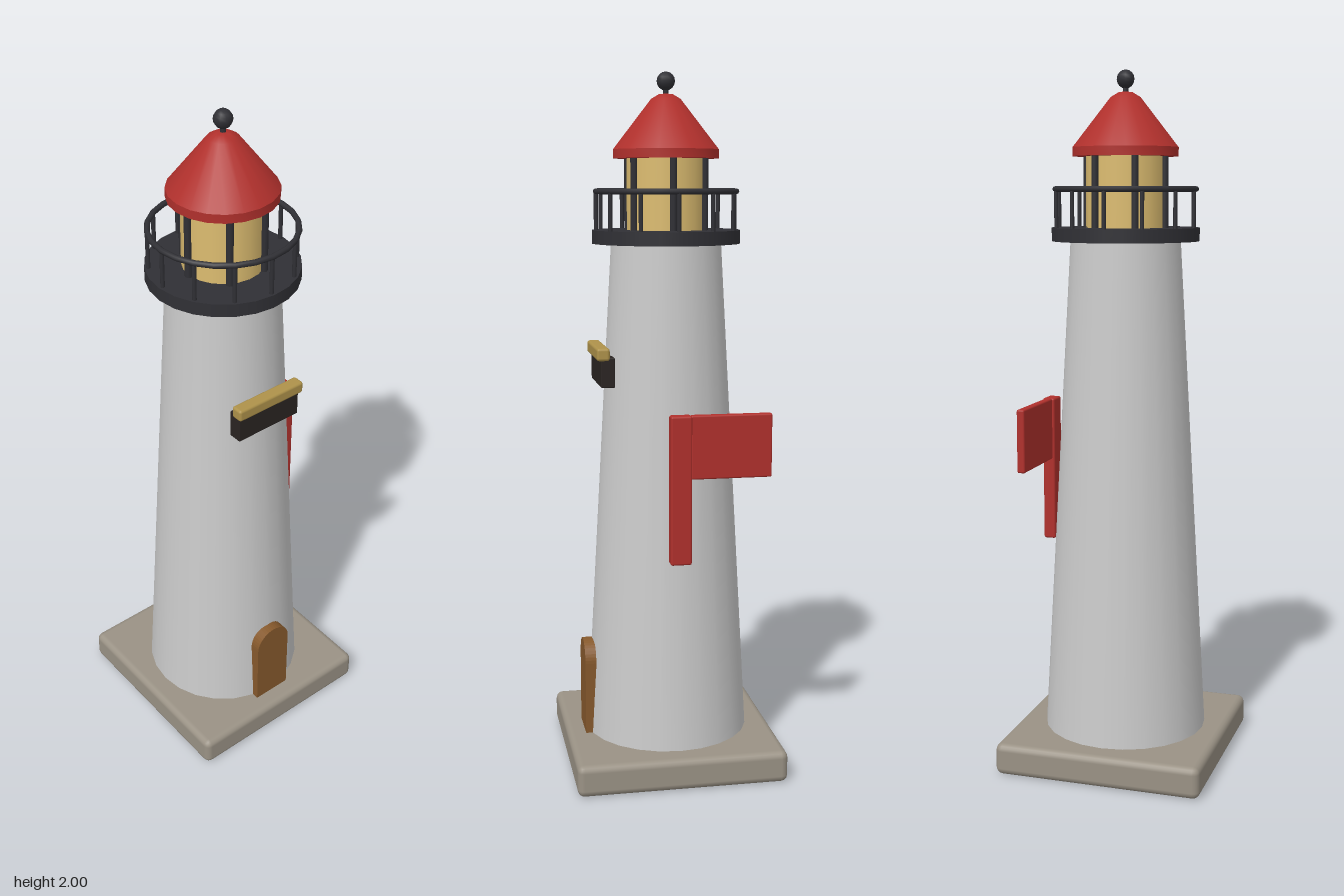
import * as THREE from 'three';
import { RoundedBoxGeometry } from 'three/addons/geometries/RoundedBoxGeometry.js';
import { toCreasedNormals } from 'three/addons/utils/BufferGeometryUtils.js';

const paint = (color) => new THREE.MeshStandardMaterial({ color });
const white = paint(0xcccccc);
const stone = paint(0x9a9285);
const iron = paint(0x303035);
const red = paint(0xb0302c);
const glass = paint(0xdcbc70);
const gold = paint(0xae924a);
const wood = paint(0x86592c);
const dark = paint(0x2a2422);

export function createModel() {
  const model = new THREE.Group();

  const add = (name, geometry, material, x = 0, y = 0, z = 0, parent = model) => {
    const mesh = new THREE.Mesh(geometry, material);
    mesh.name = name;
    mesh.position.set(x, y, z);
    parent.add(mesh);
    return mesh;
  };

  // Box given by its min and max corners, with softened edges
  const block = (name, material, min, max, radius) => {
    const size = max.map((v, i) => v - min[i]);
    const mid = max.map((v, i) => (v + min[i]) / 2);
    return add(name, new RoundedBoxGeometry(...size, 2, radius), material, ...mid);
  };

  // Ring of upright bars around the axis
  const bars = (name, count, ring, radius, y0, y1) => {
    const group = new THREE.Group();
    group.name = name;
    const geometry = new THREE.CylinderGeometry(radius, radius, y1 - y0, 8);
    for (let i = 0; i < count; i++) {
      const a = (i / count) * Math.PI * 2;
      add('bar', geometry, iron, Math.cos(a) * ring, (y0 + y1) / 2, Math.sin(a) * ring, group);
    }
    model.add(group);
  };

  // Plinth and tapered tower
  block('base', stone, [-0.303, 0, -0.303], [0.303, 0.092, 0.303], 0.02);
  add('tower', new THREE.CylinderGeometry(0.157, 0.238, 1.445, 24), white, 0, 0.8125, 0);

  // Gallery deck with railing
  add('galleryDeck', new THREE.CylinderGeometry(0.211, 0.211, 0.038, 24), iron, 0, 1.544, 0);
  const rail = add('galleryRail', new THREE.TorusGeometry(0.2, 0.008, 8, 24), iron, 0, 1.671, 0);
  rail.rotation.x = Math.PI / 2;
  bars('railPosts', 12, 0.2, 0.006, 1.56, 1.671);

  // Lantern room
  add('lanternGlass', new THREE.CylinderGeometry(0.112, 0.112, 0.21, 20), glass, 0, 1.66, 0);
  bars('lanternMullions', 6, 0.116, 0.01, 1.56, 1.765);

  // Roof and finial
  const roofProfile = [[0, 1.762], [0.15, 1.762], [0.15, 1.787], [0.042, 1.925], [0.02, 1.938], [0, 1.94]]
    .map(([r, y]) => new THREE.Vector2(r, y));
  add('roof', toCreasedNormals(new THREE.LatheGeometry(roofProfile, 20), 0.6), red);
  add('finialStem', new THREE.CylinderGeometry(0.008, 0.008, 0.04, 8), iron, 0, 1.95, 0);
  add('finialBall', new THREE.SphereGeometry(0.026, 10, 8), iron, 0, 1.974, 0);

  // Arched door
  const arch = new THREE.Shape();
  arch.moveTo(-0.06, 0.09);
  arch.lineTo(0.06, 0.09);
  arch.lineTo(0.06, 0.305);
  arch.absarc(0, 0.305, 0.06, 0, Math.PI, false);
  arch.closePath();
  add('door', new THREE.ExtrudeGeometry(arch, { depth: 0.032, bevelEnabled: false, curveSegments: 10 }),
    wood, 0, 0, 0.218);

  // Slot opening and its gold hood on the front
  block('slot', dark, [-0.105, 1.128, 0.163], [0.105, 1.212, 0.203], 0.003);
  block('slotHood', gold, [-0.1125, 1.204, 0.178], [0.1125, 1.24, 0.215], 0.008);

  // Signal flag on the left side
  block('flagArm', red, [0.21, 0.643, -0.03], [0.246, 1.065, 0.03], 0.006);
  block('flagPlate', red, [0.216, 0.885, -0.258], [0.239, 1.065, -0.028], 0.005);

  return model;
}
